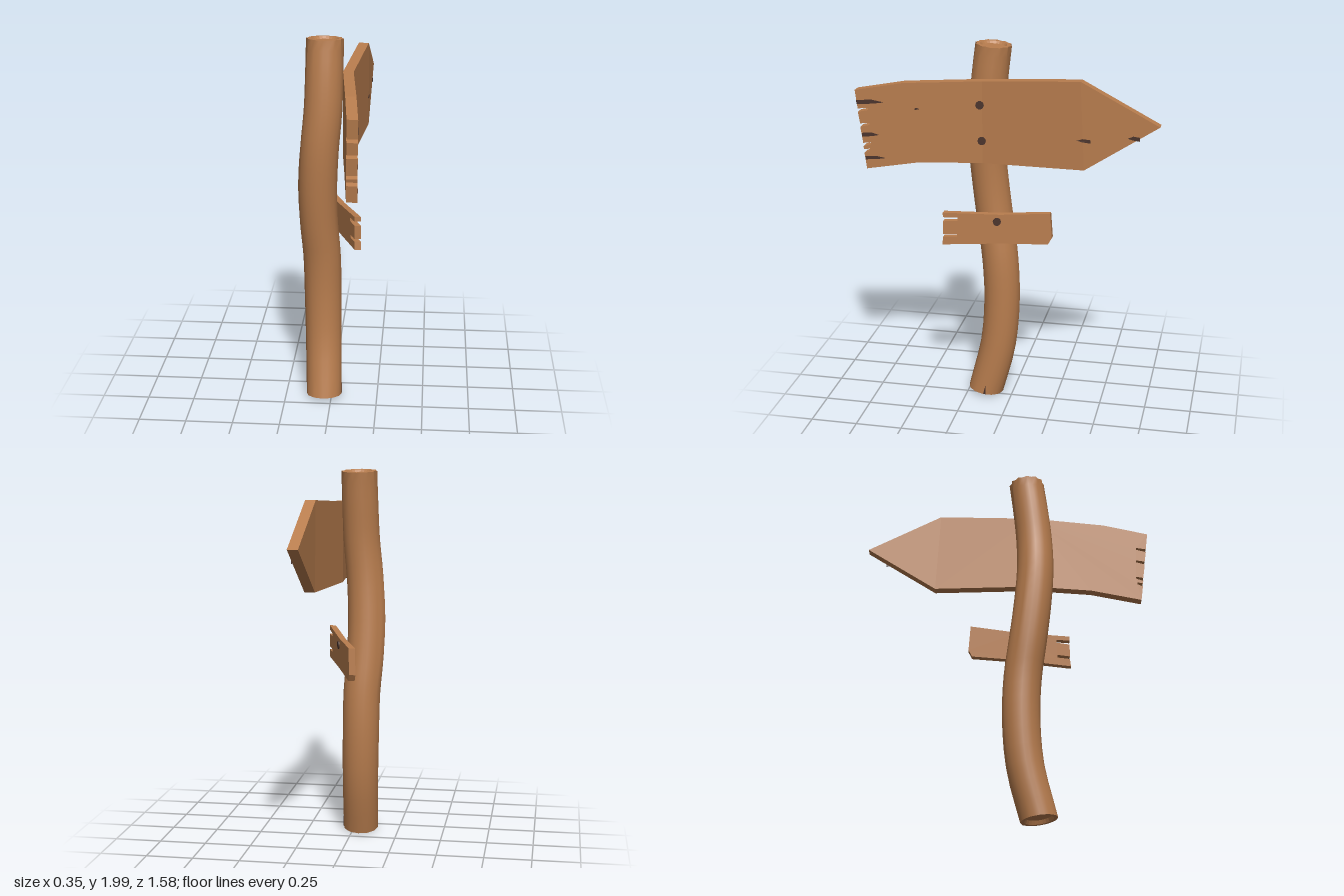
import * as THREE from 'three';

const wood = new THREE.MeshStandardMaterial({ color: 0xb87d4e });
wood.name = 'wood';
const dark = new THREE.MeshStandardMaterial({ color: 0x4a332b });
dark.name = 'darkIron';

function addMesh(parent, name, geometry, material) {
  const mesh = new THREE.Mesh(geometry, material);
  mesh.name = name;
  parent.add(mesh);
  return mesh;
}

// Surface through closed rings of points, listed from the bottom up
function loft(rings, flat) {
  const n = rings[0].length, pos = [], idx = [];
  rings.forEach(r => r.forEach(p => pos.push(...p)));
  for (let i = 0; i < rings.length - 1; i++)
    for (let j = 0; j < n; j++) {
      const a = i * n + j, b = i * n + (j + 1) % n;
      idx.push(a, a + n, b, b, a + n, b + n);
    }
  let g = new THREE.BufferGeometry();
  g.setAttribute('position', new THREE.Float32BufferAttribute(pos, 3));
  g.setIndex(idx);
  if (flat) g = g.toNonIndexed();
  g.computeVertexNormals();
  return g;
}

// Board cut from a [z, y] outline, facing +x, its back face following x = bend(z)
function board(outline, thickness, bend, base = 0) {
  let pts = outline.map(([z, y]) => new THREE.Vector2(-z, y));
  if (THREE.ShapeUtils.area(pts) < 0) pts = pts.reverse();
  const g = new THREE.ExtrudeGeometry(new THREE.Shape(pts), { depth: thickness, bevelEnabled: false });
  const p = g.attributes.position;
  for (let i = 0; i < p.count; i++) {
    const z = -p.getX(i);
    p.setXYZ(i, bend(z) + base + p.getZ(i), p.getY(i), z);
  }
  g.computeVertexNormals();
  return g;
}

function createPost() {
  const group = new THREE.Group();
  group.name = 'post';
  const N = 24;
  // Centre line x, y, z
  const curve = new THREE.CatmullRomCurve3([
    [-0.04, 0.016, 0.152], [-0.047, 0.3, 0.083], [-0.052, 0.57, 0.063], [-0.056, 0.8, 0.073],
    [-0.07, 1.0, 0.1], [-0.073, 1.2, 0.125], [-0.062, 1.42, 0.143], [-0.044, 1.62, 0.14],
    [-0.038, 1.83, 0.12], [-0.036, 1.989, 0.1],
  ].map(p => new THREE.Vector3(...p)));

  const ring = (t, radius, dy = 0) => {
    const c = curve.getPoint(t), d = curve.getTangent(t);
    return Array.from({ length: N }, (_, j) => {
      const a = j / N * Math.PI * 2, r = radius(j, c.y);
      const x = Math.cos(a) * r, z = Math.sin(a) * r;
      return [c.x + x, c.y + dy - 0.6 * (x * d.x + z * d.z) / d.y, c.z + z];
    });
  };
  // Twelve soft facets that sharpen into grooves at the top, plus one knotty ridge
  const bark = (j, y) => {
    const base = 0.096 + 0.005 * Math.sin(Math.PI * y / 2);
    const groove = THREE.MathUtils.smoothstep(y, 1.78, 1.98);
    const ridge = j === 13 ? 0.012 * Math.sin(Math.PI * THREE.MathUtils.clamp((y - 0.8) / 0.8, 0, 1)) : 0;
    return base * (j % 2 ? 0.975 - 0.075 * groove : 1) + ridge;
  };
  const shaft = [];
  for (let i = 0; i <= 27; i++) shaft.push(ring(i / 27, bark));
  addMesh(group, 'shaft', loft(shaft), wood);

  // Recessed end grain
  const round = r => () => r;
  addMesh(group, 'topEnd', loft([
    ring(1, bark), ring(1, round(0.07)), ring(1, round(0.06), -0.012), ring(1, round(0), -0.012),
  ], true), wood);
  addMesh(group, 'bottomEnd', loft([
    ring(0, round(0), 0.02), ring(0, round(0.068), 0.02), ring(0, round(0.076)), ring(0, bark),
  ], true), wood);

  // Split at the foot
  addMesh(group, 'footCrack',
    board([[0.15, 0.018], [0.136, 0.017], [0.136, 0.075]], 0.004, () => 0.053), dark);
  return group;
}

function addNail(parent, x, y, z, slope) {
  const nail = addMesh(parent, 'nail', new THREE.CylinderGeometry(0.022, 0.022, 0.012, 10), dark);
  nail.rotation.set(0, Math.atan(slope), -Math.PI / 2, 'YXZ');
  nail.position.set(x, y, z);
}

function createArrowSign() {
  const group = new THREE.Group();
  group.name = 'arrowSign';
  const T = 0.054;
  const knots = [[-0.79, 0.119], [-0.4, 0.11], [0.13, 0.058], [0.79, 0.119]];
  const bend = z => {
    let i = 0;
    while (i < 2 && z > knots[i + 1][0]) i++;
    const [[z0, x0], [z1, x1]] = [knots[i], knots[i + 1]];
    return x0 + (x1 - x0) * (z - z0) / (z1 - z0);
  };
  // Ragged tail with narrow slots
  const tail = [[0.13, 1.825], [0.54, 1.805], [0.79, 1.762]];
  const edge = y => 0.74 + 0.05 * (y - 1.34) / 0.42;
  for (const [y, depth] of [[1.655, 0.055], [1.575, 0.05], [1.47, 0.04], [1.435, 0.03]])
    tail.push([edge(y), y + 0.009], [edge(y) - depth, y + 0.014], [edge(y) - depth, y + 0.002], [edge(y), y - 0.009]);
  tail.push([0.74, 1.34], [0.46, 1.383], [0.13, 1.39]);

  addMesh(group, 'tailPanel', board(tail, T, bend), wood);
  addMesh(group, 'middlePanel',
    board([[0.13, 1.825], [0.13, 1.39], [-0.41, 1.4], [-0.385, 1.86]], T, bend), wood);
  addMesh(group, 'arrowHead', board([[-0.385, 1.86], [-0.41, 1.4], [-0.79, 1.65]], T, bend), wood);

  // Dark splits in the grain: z start, z end, y, half height
  for (const [z0, z1, y, h] of [
    [0.783, 0.64, 1.7, 0.013], [0.76, 0.67, 1.525, 0.012], [0.745, 0.64, 1.4, 0.01],
    [0.48, 0.455, 1.67, 0.005], [-0.44, -0.37, 1.555, 0.01], [-0.69, -0.63, 1.583, 0.012],
  ])
    addMesh(group, 'grainSplit', board([
      [z0, y + h * 0.7], [z0 - (z0 - z1) * 0.55, y + h], [z1, y],
      [z0 - (z0 - z1) * 0.6, y - h * 0.6], [z0, y - h],
    ], 0.003, bend, T - 0.001), dark);

  addNail(group, 0.113, 1.7, 0.143, 0.09);
  addNail(group, 0.113, 1.51, 0.133, 0.09);
  return group;
}

function createSmallSign() {
  const group = new THREE.Group();
  group.name = 'smallSign';
  const T = 0.034;
  const bend = z => 0.0118 + 0.358 * z;
  addMesh(group, 'plank', board([
    [0.05, 1.093], [0.335, 1.12], [0.335, 1.095], [0.262, 1.088], [0.262, 1.07], [0.335, 1.072],
    [0.335, 1.0], [0.265, 0.998], [0.265, 0.982], [0.335, 0.985],
    [0.34, 0.942], [0.05, 0.93], [-0.195, 0.91], [-0.215, 0.945], [-0.205, 1.085],
  ], T, bend), wood);
  addNail(group, bend(0.065) + T, 1.055, 0.065, 0.358);
  return group;
}

export function createModel() {
  const model = new THREE.Group();
  model.name = 'woodenSignpost';
  model.add(createPost(), createArrowSign(), createSmallSign());
  return model;
}
